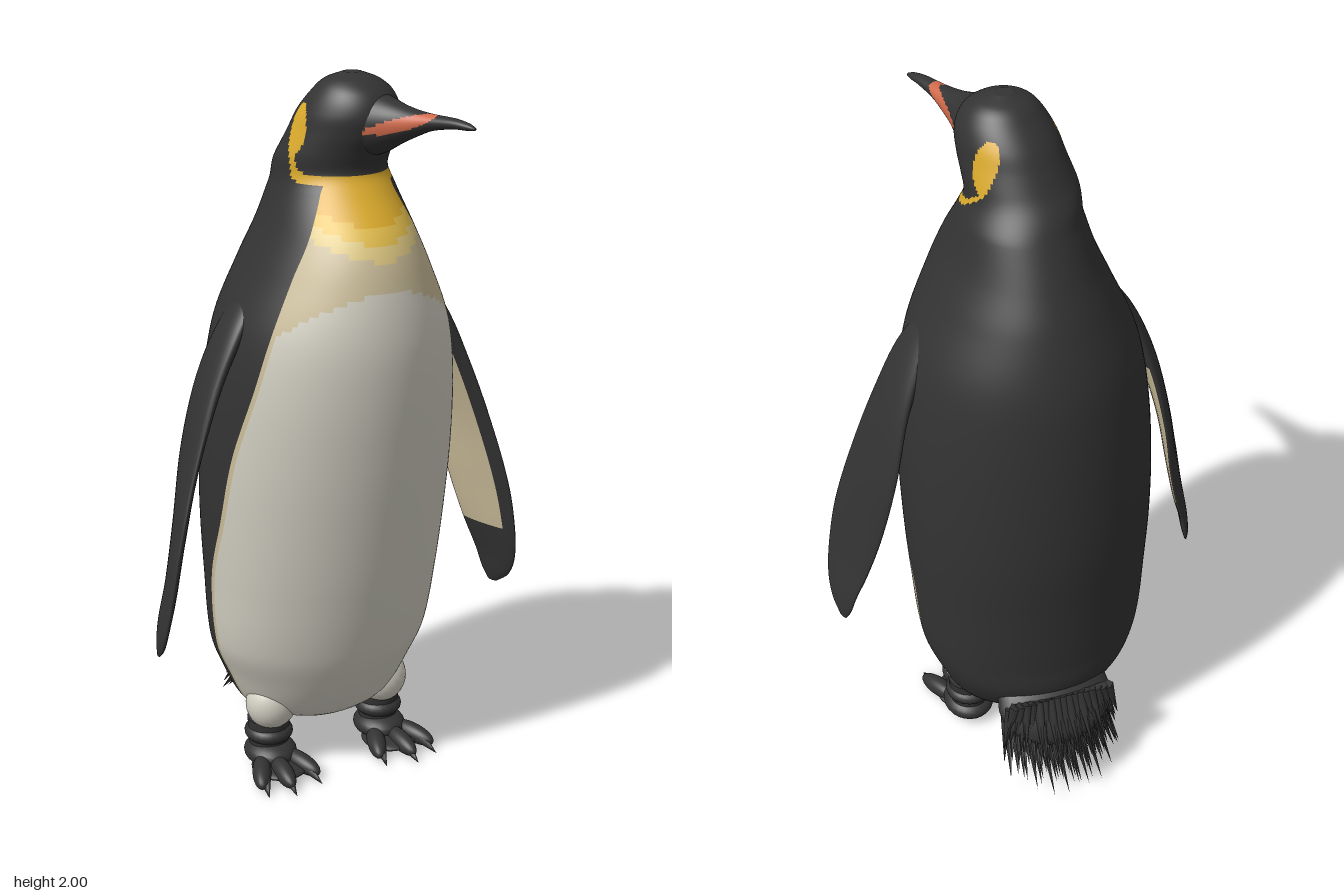
import * as THREE from 'three';
import { mergeGeometries } from 'three/addons/utils/BufferGeometryUtils.js';

const V = (x, y, z) => new THREE.Vector3(x, y, z);
const BLACK = 0, WHITE = 1, TAN = 2, PALE = 3, YELLOW = 4, AMBER = 5, CORAL = 6;

function makeMaterials() {
  return [['black', 0x333333], ['white', 0xd2cfc2], ['tan', 0xcbbd9a], ['paleYellow', 0xdfc983],
    ['yellow', 0xe2bd4c], ['amber', 0xdbab2c], ['coral', 0xd0694a]].map(([name, color]) => {
    const m = new THREE.MeshStandardMaterial({ color });
    m.name = name;
    return m;
  });
}

// Smooth interpolation of column k in a table keyed by its first column
function sample(table, t, k) {
  let i = 0;
  while (i < table.length - 2 && t > table[i + 1][0]) i++;
  const slope = (a, b) => (table[b][k] - table[a][k]) / (table[b][0] - table[a][0]);
  const tangent = (n) => slope(Math.max(n - 1, 0), Math.min(n + 1, table.length - 1));
  const h = table[i + 1][0] - table[i][0], s = (t - table[i][0]) / h;
  const s2 = s * s, s3 = s2 * s;
  return (2 * s3 - 3 * s2 + 1) * table[i][k] + (s3 - 2 * s2 + s) * h * tangent(i)
    + (3 * s2 - 2 * s3) * table[i + 1][k] + (s3 - s2) * h * tangent(i + 1);
}

// Closed skin over rings of points; colourOf(row, column) picks the material of each cell
function loft(rings, colourOf, materials, name) {
  const n = rings[0].length, last = rings.length - 1, pts = rings.flat();
  const buckets = materials.map(() => []);
  for (let i = 0; i < last; i++) {
    for (let j = 0; j < n; j++) {
      const k = (j + 1) % n, a = i * n + j, b = i * n + k;
      buckets[colourOf(i, j)].push(a, b, b + n, a, b + n, a + n);
    }
  }
  for (const row of [0, last]) {
    const centre = V(0, 0, 0);
    rings[row].forEach((p) => centre.addScaledVector(p, 1 / n));
    pts.push(centre);
    for (let j = 0; j < n; j++) {
      const a = row * n + j, b = row * n + (j + 1) % n;
      buckets[colourOf(Math.min(row, last - 1), j)].push(...(row ? [a, b, pts.length - 1] : [b, a, pts.length - 1]));
    }
  }
  const g = new THREE.BufferGeometry().setFromPoints(pts);
  g.setIndex(buckets.flat());
  let start = 0;
  buckets.forEach((b, m) => {
    if (b.length) g.addGroup(start, b.length, m);
    start += b.length;
  });
  g.computeVertexNormals();
  const mesh = new THREE.Mesh(g, materials);
  mesh.name = name;
  return mesh;
}

// The head looks a little to its left
function turnHead(p) {
  const a = 0.36 * THREE.MathUtils.smoothstep(p.y, 1.7, 1.8), z = p.z - 0.06;
  return V(p.x * Math.cos(a) + z * Math.sin(a), p.y, 0.06 + z * Math.cos(a) - p.x * Math.sin(a));
}

// Bill plate, ear patch and the line below the cheek
function faceColour(p) {
  const dz = p.z - 0.295, dy = p.y - 1.887 - 0.29 * dz;
  if ((dz / 0.092) ** 2 + (dy / 0.017) ** 2 < 1) return CORAL;
  if (((p.z - 0.03) / 0.034) ** 2 + ((p.y - 1.858) / 0.064) ** 2 < 1) return AMBER;
  const line = 1.735 + 0.075 * Math.max(0, (0.1 - p.z) / 0.09) ** 2;
  return p.z > 0.005 && Math.abs(p.y - line) < 0.012 ? AMBER : BLACK;
}

function breastColour(p) {
  const top = p.y - 2 * p.x * p.x;
  if (top > 1.63) return AMBER;
  if (top > 1.59) return YELLOW;
  if (top > 1.55) return PALE;
  return p.y + 1.8 * p.x * p.x > 1.475 ? TAN : WHITE;
}

// Height, front z, back z, half width, z of the edge between belly and back
const BODY = [
  [0.15, 0.05, -0.12, 0.13, -0.06], [0.17, 0.08, -0.2, 0.19, -0.06], [0.2, 0.105, -0.25, 0.235, -0.06],
  [0.3, 0.16, -0.315, 0.285, -0.06], [0.4, 0.2, -0.325, 0.322, -0.06], [0.6, 0.25, -0.34, 0.34, -0.045],
  [0.8, 0.29, -0.355, 0.35, 0.03], [1.0, 0.325, -0.355, 0.35, 0.09], [1.2, 0.352, -0.345, 0.335, 0.16],
  [1.35, 0.358, -0.325, 0.305, 0.19], [1.5, 0.335, -0.275, 0.24, 0.195], [1.6, 0.295, -0.225, 0.195, 0.195],
  [1.7, 0.215, -0.17, 0.16, 0.165], [1.75, 0.185, -0.14, 0.145, 0.14], [1.8, 0.2, -0.105, 0.138, 0.12],
  [1.85, 0.225, -0.075, 0.13, 0.12], [1.9, 0.235, -0.045, 0.122, 0.12], [1.95, 0.215, 0, 0.1, 0.12],
  [1.98, 0.175, 0.035, 0.07, 0.11], [1.997, 0.13, 0.08, 0.025, 0.105]];

function makeBody(mats) {
  const nf = 52, nb = 80, ys = [], local = [];
  for (let i = 0; i < 110; i++) ys.push(0.15 + 1.55 * i / 110);
  for (let i = 0; i <= 60; i++) ys.push(1.7 + 0.297 * Math.sin(i / 60 * Math.PI / 2));
  for (const y of ys) {
    const [f, b, w, edge] = [1, 2, 3, 4].map((k) => sample(BODY, y, k));
    const zc = (f + b) / 2, d = (f - b) / 2;
    const e = Math.acos(THREE.MathUtils.clamp((edge - zc) / d, -0.7, 0.9));
    const ring = [];
    for (let j = 0; j < nf + nb; j++) {
      const a = j < nf ? -e + 2 * e * j / nf : e + (2 * Math.PI - 2 * e) * (j - nf) / nb;
      ring.push(V(w * Math.sin(a), y, zc + d * Math.cos(a)));
    }
    local.push(ring);
  }
  const colour = (i, j) => {
    const p = local[i][j].clone().add(local[i + 1][(j + 1) % (nf + nb)]).multiplyScalar(0.5);
    if (p.y > 1.74) return faceColour(p);
    if (j < nf) return p.y < 1.45 && (j === 0 || j === nf - 1) ? TAN : breastColour(p);
    if (p.y < 0.185) return TAN;
    return p.y > 1.7 ? faceColour(p) : BLACK;
  };
  return loft(local.map((r) => r.map(turnHead)), colour, mats, 'bodyAndHead');
}

// Depth, top, bottom, half width
const BILL = [[0.17, 1.955, 1.79, 0.085], [0.21, 1.95, 1.8, 0.07], [0.27, 1.932, 1.832, 0.047],
  [0.32, 1.922, 1.856, 0.035], [0.37, 1.917, 1.876, 0.026], [0.44, 1.914, 1.888, 0.018],
  [0.48, 1.907, 1.889, 0.012], [0.5, 1.899, 1.891, 0.005]];

function makeBill(mats) {
  const rings = [], n = 48, rows = 50;
  for (let i = 0; i <= rows; i++) {
    const z = 0.17 + 0.33 * i / rows, [t, b, w] = [1, 2, 3].map((k) => sample(BILL, z, k));
    rings.push(Array.from({ length: n }, (_, j) => {
      const a = j / n * Math.PI * 2;
      return V(w * Math.cos(a), (t + b) / 2 + (t - b) / 2 * Math.sin(a), z);
    }));
  }
  const colour = (i, j) => {
    const p = rings[i][j].clone().add(rings[i + 1][(j + 1) % n]).multiplyScalar(0.5);
    return faceColour(p) === CORAL ? CORAL : BLACK;
  };
  return loft(rings.map((r) => r.map(turnHead)), colour, mats, 'bill');
}

// Height, z and x of the leading edge, z and x of the trailing edge, half thickness
const FLIPPER = [[0.455, 0.05, 0.54, 0.02, 0.53, 0.005], [0.49, 0.095, 0.548, 0, 0.52, 0.011],
  [0.55, 0.127, 0.548, -0.015, 0.505, 0.014], [0.65, 0.145, 0.535, -0.035, 0.47, 0.016],
  [0.8, 0.145, 0.507, -0.065, 0.43, 0.018], [1.0, 0.125, 0.45, -0.095, 0.39, 0.021],
  [1.2, 0.105, 0.375, -0.075, 0.345, 0.027], [1.35, 0.095, 0.3, -0.05, 0.285, 0.03],
  [1.47, 0.06, 0.215, -0.03, 0.205, 0.025]];

function makeFlipper(side, mats) {
  const n = 32, rows = 60, rings = [];
  for (let i = 0; i <= rows; i++) {
    const y = 0.455 + 1.015 * (i / rows) ** 1.3;
    const [zl, xl, zt, xt, t] = [1, 2, 3, 4, 5].map((k) => sample(FLIPPER, y, k));
    const chord = V((xl - xt) / 2, 0, (zl - zt) / 2), out = V(chord.z, 0, -chord.x).normalize();
    const ring = Array.from({ length: n }, (_, j) => {
      const a = (j + 0.5) / n * Math.PI * 2;
      const p = V((xl + xt) / 2, y, (zl + zt) / 2).addScaledVector(chord, Math.cos(a)).addScaledVector(out, t * Math.sin(a));
      p.x *= side;
      return p;
    });
    rings.push(side < 0 ? ring.reverse() : ring);
  }
  const colour = (i, j) => {
    const a = ((side < 0 ? n - 2 - j : j) + 1) / n * Math.PI * 2, y = rings[i][j].y;
    return Math.sin(a) < -0.1 && Math.cos(a) < 0.62 && Math.cos(a) > -0.93 && y > 0.64 && y < 1.19 ? TAN : BLACK;
  };
  return loft(rings, colour, mats, side > 0 ? 'leftFlipper' : 'rightFlipper');
}

// Tapered spike between two points
function spike(from, to, r, sides = 5) {
  const d = to.clone().sub(from), g = new THREE.ConeGeometry(r, d.length(), sides);
  g.applyQuaternion(new THREE.Quaternion().setFromUnitVectors(V(0, 1, 0), d.clone().normalize()));
  const mid = from.clone().add(to).multiplyScalar(0.5);
  return g.translate(mid.x, mid.y, mid.z);
}

const blob = (x, y, z, rx, ry, rz, turn = 0, tilt = 0) =>
  new THREE.SphereGeometry(1, 24, 16).scale(rx, ry, rz).rotateX(tilt).rotateY(turn).translate(x, y, z);

function makeTail(mats) {
  const parts = [blob(0, 0.25, -0.285, 0.17, 0.065, 0.135, 0, -0.75)];
  for (let layer = 0; layer < 5; layer++) {
    for (let i = 0; i < 17; i++) {
      const u = (i + (layer % 2) * 0.5) / 8 - 1.03, jitter = 0.018 * Math.sin(i * 2.7 + layer * 4.1);
      const root = V(0.14 * u, 0.2 + 0.025 * layer, -0.26 - 0.018 * layer);
      const tip = V(0.172 * u, 0.05 + 0.028 * layer + jitter + 0.03 * u * u, -0.455 + 0.008 * layer + 0.09 * u * u + jitter);
      parts.push(spike(root, tip, 0.018));
    }
  }
  const tail = new THREE.Mesh(mergeGeometries(parts), mats[BLACK]);
  tail.name = 'tail';
  return tail;
}

function makeLeg(side, mats) {
  const leg = new THREE.Group();
  leg.name = side > 0 ? 'leftLeg' : 'rightLeg';
  const add = (name, geometry, material) => {
    const m = new THREE.Mesh(geometry, material);
    m.name = name;
    leg.add(m);
  };
  const x = 0.18 * side;
  add('thigh', blob(x, 0.205, -0.005, 0.075, 0.08, 0.07), mats[WHITE]);
  // Ankle, sole and three clawed toes
  const foot = [new THREE.CylinderGeometry(0.062, 0.055, 0.1, 24).translate(x, 0.1, -0.025),
    blob(x, 0.105, -0.025, 0.07, 0.035, 0.072), blob(x, 0.045, -0.015, 0.075, 0.04, 0.085),
    blob(x, 0.022, 0.045, 0.08, 0.018, 0.085)];
  for (const [tx, tz] of [[-0.065, 0.125], [0.015, 0.15], [0.08, 0.125]]) {
    const dx = tx * side, turn = Math.atan2(dx * 0.7, tz);
    foot.push(blob(x + dx * 0.85, 0.031, tz - 0.055, 0.027, 0.028, 0.075, turn, 0.12));
    foot.push(spike(V(x + dx * 0.95, 0.026, tz - 0.015), V(x + dx * 1.15, 0.004, tz + 0.045), 0.016, 8));
  }
  add('foot', mergeGeometries(foot), mats[BLACK]);
  return leg;
}

export function createModel() {
  const model = new THREE.Group(), mats = makeMaterials();
  model.name = 'penguin';
  model.add(makeBody(mats), makeBill(mats), makeTail(mats));
  for (const side of [1, -1]) model.add(makeFlipper(side, mats), makeLeg(side, mats));
  return model;
}
